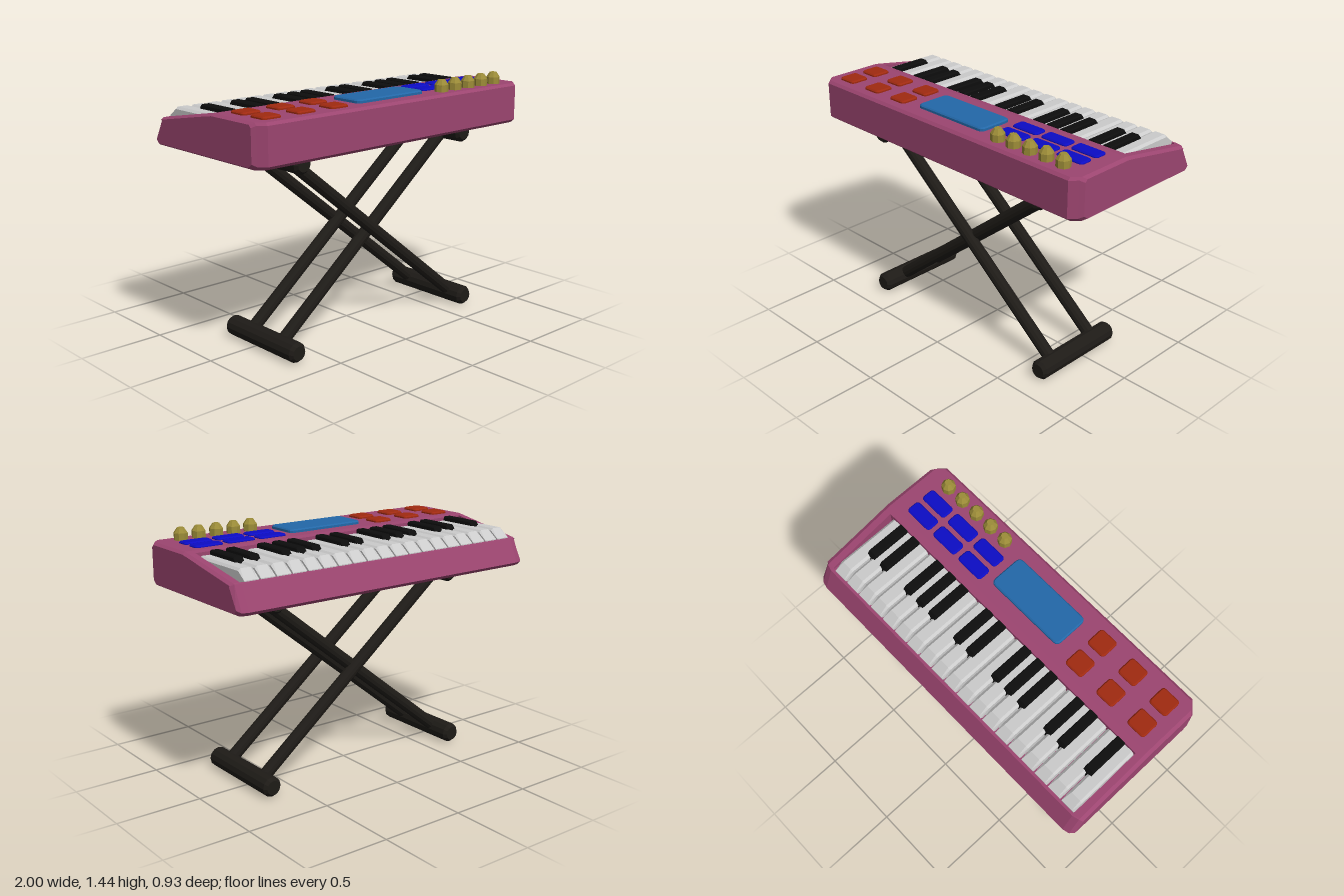
import * as THREE from 'three';

const mat = (color) => new THREE.MeshStandardMaterial({ color, flatShading: true, roughness: 0.8 });
const M = {
  body: mat(0x9c4570), white: mat(0xcccccc), black: mat(0x0d0d0d), stand: mat(0x1e1b17),
  red: mat(0xa02a10), blue: mat(0x0c0cc4), screen: mat(0x2368a8), gold: mat(0x9c8c38),
};

function add(parent, name, geometry, material, x = 0, y = 0, z = 0) {
  const mesh = new THREE.Mesh(geometry, material);
  mesh.name = name;
  mesh.position.set(x, y, z);
  parent.add(mesh);
  return mesh;
}

// Skin over cross-sections { x, p: [[z, y], ...] } ordered from -x to +x, with end caps
function loft(sections) {
  const pos = [];
  const n = sections[0].p.length;
  const tri = (...pts) => pts.forEach(([x, q]) => pos.push(x, q[1], q[0]));
  for (let i = 0; i < sections.length - 1; i++) {
    const a = sections[i], b = sections[i + 1];
    for (let j = 0; j < n; j++) {
      const k = (j + 1) % n;
      tri([a.x, a.p[j]], [b.x, b.p[j]], [b.x, b.p[k]]);
      tri([a.x, a.p[j]], [b.x, b.p[k]], [a.x, a.p[k]]);
    }
  }
  [sections[0], sections[sections.length - 1]].forEach((s, end) => {
    const c = [0, 1].map((d) => s.p.reduce((sum, q) => sum + q[d], 0) / n);
    for (let j = 0; j < n; j++) {
      const k = (j + 1) % n;
      tri([s.x, c], [s.x, s.p[end ? k : j]], [s.x, s.p[end ? j : k]]);
    }
  });
  const g = new THREE.BufferGeometry();
  g.setAttribute('position', new THREE.Float32BufferAttribute(pos, 3));
  g.computeVertexNormals();
  return g;
}

// Case: chamfered ends, with a key bed sunk into the sloping top
function bodyGeometry() {
  const profile = (bed) => [
    [0.44, 1.13], [0.465, 1.15], [0.465, 1.355], [0.45, 1.37], [0.08, 1.37], [0.04, 1.364],
    [0.04, bed ? 1.275 : 1.364], [-0.385, bed ? 1.275 : 1.288],
    [-0.385, 1.288], [-0.405, 1.284], [-0.465, 1.15], [-0.445, 1.13],
  ];
  const inset = (front, back, dy) => profile(false).map(([z, y]) => [
    z > 0.4 ? z - front : z < -0.39 ? z + back : z,
    y < 1.2 ? y + dy : y - dy,
  ]);
  const ends = [[1, inset(0.06, 0.03, 0.012)], [0.98, inset(0.04, 0.01, 0)],
    [0.942, inset(0, 0, 0)], [0.942, profile(true)]];
  return loft([
    ...ends.map(([x, p]) => ({ x: -x, p })),
    ...ends.slice().reverse().map(([x, p]) => ({ x, p })),
  ]);
}

// Key with bevelled long edges
function keyGeometry(width, bevel, drop, profile) {
  const top = Math.max(...profile.map((q) => q[1]));
  const low = profile.map(([z, y]) => [z, y === top ? y - drop : y]);
  const h = width / 2;
  return loft([
    { x: -h, p: low }, { x: -h + bevel, p: profile }, { x: h - bevel, p: profile }, { x: h, p: low },
  ]);
}

// Rounded plate lying flat, with a bevelled upper edge
function plateGeometry(w, d, height, r = 0.014) {
  const b = 0.007, x = w / 2 - b, y = d / 2 - b;
  const s = new THREE.Shape();
  s.moveTo(-x + r, -y);
  s.lineTo(x - r, -y); s.quadraticCurveTo(x, -y, x, -y + r);
  s.lineTo(x, y - r); s.quadraticCurveTo(x, y, x - r, y);
  s.lineTo(-x + r, y); s.quadraticCurveTo(-x, y, -x, y - r);
  s.lineTo(-x, -y + r); s.quadraticCurveTo(-x, -y, -x + r, -y);
  const g = new THREE.ExtrudeGeometry(s, {
    depth: height, bevelThickness: b, bevelSize: b, bevelSegments: 1, curveSegments: 3,
  });
  return g.rotateX(-Math.PI / 2).translate(0, -b, 0);
}

const lathe = (points, sides) =>
  new THREE.LatheGeometry(points.map(([r, y]) => new THREE.Vector2(r, y)), sides);

function createKeyboard() {
  const g = new THREE.Group();
  g.name = 'keyboard';
  add(g, 'case', bodyGeometry(), M.body);

  // Keys
  const start = -0.941, pitch = 0.0982;
  const whiteKey = keyGeometry(0.088, 0.014, 0.012,
    [[0.039, 1.27], [0.039, 1.345], [-0.335, 1.345], [-0.39, 1.292], [-0.39, 1.278]]);
  const blackKey = keyGeometry(0.056, 0.006, 0.006,
    [[0.039, 1.3], [0.039, 1.37], [-0.19, 1.37], [-0.205, 1.345], [-0.215, 1.3]]);
  for (let i = 0; i < 19; i++) add(g, 'whiteKey', whiteKey, M.white, start + (i + 0.5) * pitch);
  for (const i of [1, 3, 4, 6, 7, 8, 10, 11, 13, 14, 15, 17, 18]) {
    add(g, 'blackKey', blackKey, M.black, start + i * pitch);
  }

  // Control panel
  const pad = plateGeometry(0.12, 0.115, 0.015);
  const button = plateGeometry(0.176, 0.082, 0.012);
  add(g, 'screen', plateGeometry(0.505, 0.212, 0.02, 0.025), M.screen, 0, 1.37, 0.263);
  for (let i = 0; i < 3; i++) {
    for (let j = 0; j < 2; j++) {
      add(g, 'pad', pad, M.red, -0.855 + i * 0.225, 1.37, 0.178 + j * 0.163);
      add(g, 'button', button, M.blue, 0.395 + i * 0.205, 1.37, 0.16 + j * 0.11);
    }
  }
  const knob = lathe([[0.04, 0], [0.04, 0.04], [0.02, 0.069], [0, 0.069]], 8);
  for (let i = 0; i < 5; i++) add(g, 'knob', knob, M.gold, 0.383 + i * 0.113, 1.37, 0.38);
  return g;
}

function createStand() {
  const g = new THREE.Group();
  g.name = 'stand';
  // Cross bars along z with chamfered ends
  const h = 0.298, r = 0.058;
  const bar = lathe([[0, -h], [0.042, -h], [r, -h + 0.02], [r, h - 0.02], [0.042, h], [0, h]], 12)
    .rotateX(Math.PI / 2);
  // Crossed leg pairs: the inner pair rises to +x, the outer pair to -x
  const up = new THREE.Vector3(0, 1, 0);
  for (const [side, zs] of [[1, [0.187, -0.075]], [-1, [0.228, -0.108]]]) {
    const a = new THREE.Vector3(-0.67 * side, 0.06, 0);
    const b = new THREE.Vector3(0.62 * side, 1.095, 0);
    add(g, 'footBar', bar, M.stand, a.x, a.y, 0.057);
    add(g, 'supportBar', bar, M.stand, b.x, b.y, 0.057);
    const dir = b.clone().sub(a);
    const leg = new THREE.CylinderGeometry(0.037, 0.037, dir.length(), 12);
    const mid = a.clone().add(b).multiplyScalar(0.5);
    for (const z of zs) {
      add(g, 'leg', leg, M.stand, mid.x, mid.y, z)
        .quaternion.setFromUnitVectors(up, dir.clone().normalize());
    }
  }
  return g;
}

export function createModel() {
  const model = new THREE.Group();
  model.name = 'keyboardOnStand';
  model.add(createKeyboard(), createStand());
  return model;
}
